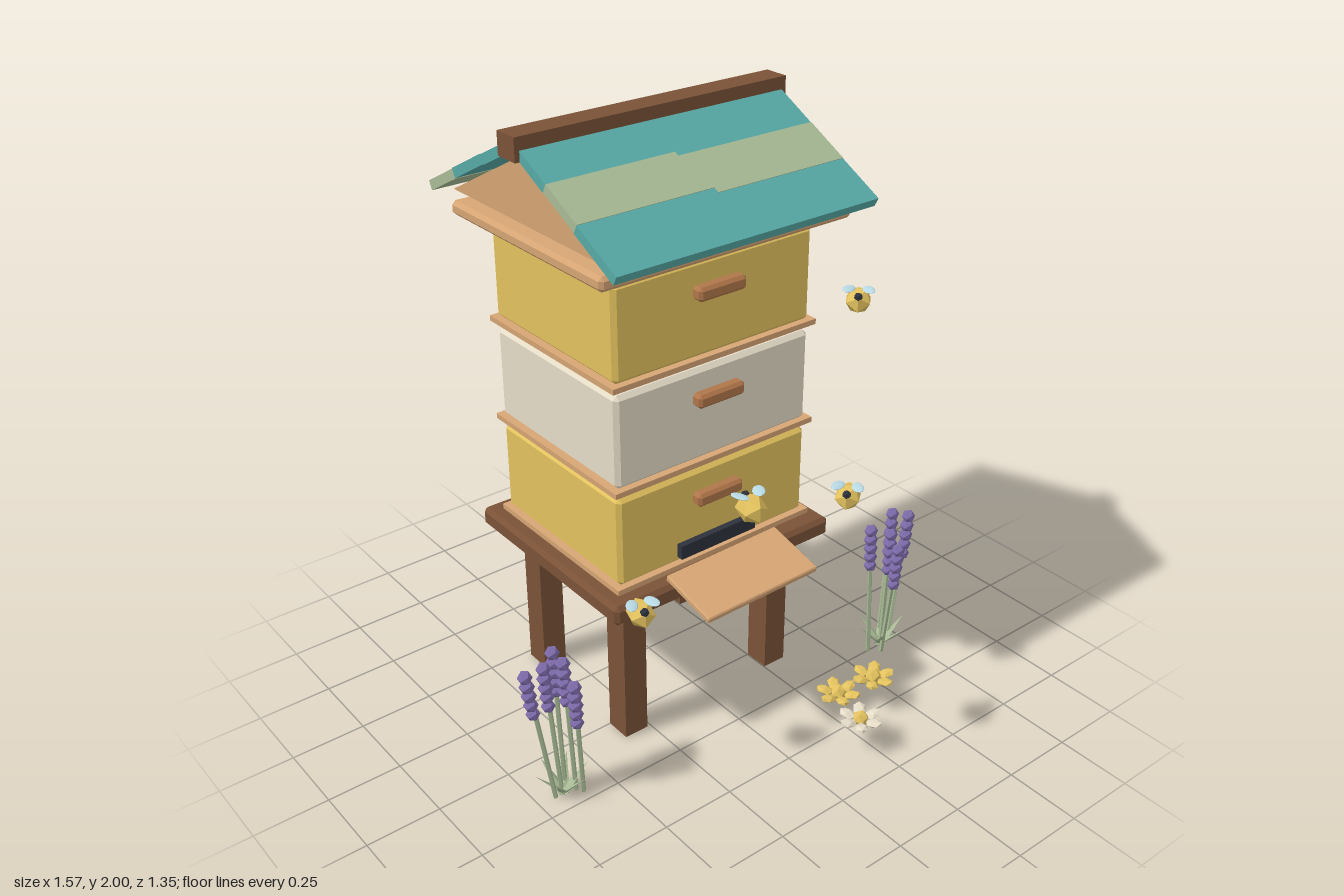
import * as THREE from 'three';
import { ConvexGeometry } from 'three/addons/geometries/ConvexGeometry.js';

const mat = (name, color) => {
  const m = new THREE.MeshStandardMaterial({ color, flatShading: true });
  m.name = name;
  return m;
};

// box with every edge cut off by b
function chamferBox(w, h, d, b) {
  const points = [];
  for (const x of [-1, 1]) for (const y of [-1, 1]) for (const z of [-1, 1])
    for (const [i, j, k] of [[0, b, b], [b, 0, b], [b, b, 0]])
      points.push(new THREE.Vector3(x * (w / 2 - i), y * (h / 2 - j), z * (d / 2 - k)));
  return new ConvexGeometry(points);
}

export function createModel() {
  const teal = mat('teal paint', 0x57aaa7), sage = mat('sage green', 0xa8bb95);
  const honey = mat('honey yellow', 0xe3c25e), cream = mat('cream paint', 0xe5dcc7);
  const walnut = mat('dark wood', 0x7a5237), pine = mat('light wood', 0xd6a574);
  const oak = mat('mid wood', 0xb0764a), dark = mat('charcoal', 0x2c313c);
  const violet = mat('lavender violet', 0x7e6cab), wingBlue = mat('wing blue', 0xb8d9e4);

  const model = new THREE.Group();
  model.name = 'beehive';
  const CX = -0.006, CZ = -0.193; // hive centre

  function add(parent, name, geometry, material, x = 0, y = 0, z = 0) {
    const m = new THREE.Mesh(geometry, material);
    m.name = name;
    m.position.set(x, y, z);
    parent.add(m);
    return m;
  }
  function group(parent, name, x = 0, y = 0, z = 0) {
    const g = new THREE.Group();
    g.name = name;
    g.position.set(x, y, z);
    parent.add(g);
    return g;
  }
  // bevelled block given by its size and its bottom and top heights
  const block = (name, material, w, y0, y1, d, bevel, z = CZ) =>
    add(model, name, chamferBox(w, y1 - y0, d, bevel), material, CX, (y0 + y1) / 2, z);

  // stand
  for (const sx of [-1, 1]) for (const sz of [-1, 1])
    add(model, 'leg', new THREE.BoxGeometry(0.087, 0.54, 0.09), walnut, CX + sx * 0.301, 0.27, CZ + sz * 0.239);
  block('standTop', walnut, 0.878, 0.532, 0.6, 0.764, 0.014).rotation.z = -0.012;

  // stacked hive boxes, each with a bottom rim and two handles
  [[0.606, honey], [0.95, cream], [1.297, honey]].forEach(([y, paint]) => {
    add(model, 'rim', new THREE.BoxGeometry(0.78, 0.018, 0.655), pine, CX, y + 0.009, CZ);
    block('hiveBox', paint, 0.748, y + 0.016, y + 0.326, 0.629, 0.014);
    for (const s of [-1, 1])
      block('handle', oak, 0.178, y + 0.207, y + 0.252, 0.05, 0.01, CZ + s * 0.325);
  });
  add(model, 'entrance', new THREE.BoxGeometry(0.301, 0.048, 0.024), dark, CX, 0.669, 0.132);
  const landing = add(model, 'landingBoard', chamferBox(0.445, 0.022, 0.215, 0.004), pine, CX, 0.592, 0.26);
  landing.rotation.set(0.234, 0, 0.012);

  // inner cover and gable
  block('innerCover', pine, 0.928, 1.648, 1.694, 0.777, 0.012);
  const tri = new THREE.Shape([[-0.447, 0], [0.447, 0], [0, 0.234]].map(p => new THREE.Vector2(...p)));
  const gable = new THREE.ExtrudeGeometry(tri, { depth: 0.83, bevelEnabled: false });
  gable.translate(0, 0, -0.415).rotateY(Math.PI / 2);
  add(model, 'gable', gable, pine, CX, 1.702, CZ);

  // roof planks: each edge is [distance at left, distance at right, x of the step]
  function roofSide(name, yaw, edges, paints) {
    const side = group(model, name, CX, 1.982, CZ - 0.002);
    side.rotation.y = yaw;
    const slope = group(side, 'slope');
    slope.rotation.x = 0.478;
    paints.forEach((paint, i) => {
      const [a, b, s] = edges[i], [c, d, t] = edges[i + 1], h = 0.477;
      const shape = new THREE.Shape(
        [[-h, a], [s, a], [s, b], [h, b], [h, d], [t, d], [t, c], [-h, c]].map(p => new THREE.Vector2(p[0], p[1] * 1.126)));
      const g = new THREE.ExtrudeGeometry(shape, { depth: 0.031, bevelEnabled: false }).rotateX(Math.PI / 2);
      add(slope, 'plank', g, paint, 0, i % 2 ? 0.002 : 0, 0);
    });
  }
  roofSide('frontRoof', 0, [[0, 0, 0], [0.165, 0.18, -0.035], [0.307, 0.325, -0.005], [0.482, 0.482, 0]], [teal, sage, teal]);
  roofSide('backRoof', Math.PI, [[0, 0, 0], [0.17, 0.172, 0], [0.31, 0.335, 0.11], [0.48, 0.482, 0]], [teal, teal, sage]);
  add(model, 'ridgeBeam', new THREE.BoxGeometry(0.986, 0.073, 0.086), walnut, CX, 1.9635, CZ - 0.002);

  // bees: position and yaw, with head and wings towards local +z
  const ball = (r, detail = 0) => new THREE.IcosahedronGeometry(r, detail);
  const bees = [[0.52, 1.357, 0.18, -0.8], [-0.23, 1.06, 0.55, 3.0], [0.295, 0.832, 0.405, -0.9], [-0.457, 0.682, 0.33, -0.3]];
  for (const [x, y, z, yaw] of bees) {
    const bee = group(model, 'bee', x, y, z);
    bee.rotation.y = yaw;
    add(bee, 'beeBody', ball(0.045), honey).scale.set(0.98, 0.98, 1.2);
    add(bee, 'beeHead', ball(0.015), dark, 0, 0.024, 0.034);
    for (const s of [-1, 1]) {
      const wing = add(bee, 'beeWing', ball(0.03, 1), wingBlue, s * 0.031, 0.041, 0.012);
      wing.scale.set(0.62, 0.15, 1);
      wing.rotation.set(0, s * 0.4, s * 0.12);
    }
  }

  // lavender: every stalk has a foot x, z and a tip x, y, z
  function lavender(cx, cz, stalks) {
    const plant = group(model, 'lavender');
    for (const [fx, fz, tx, ty, tz] of stalks) {
      const foot = new THREE.Vector3(fx, 0, fz), tip = new THREE.Vector3(tx, ty, tz);
      const path = new THREE.LineCurve3(foot, tip);
      add(plant, 'stalk', new THREE.TubeGeometry(path, 1, 0.008, 5), sage);
      for (let i = 0; i < 5; i++)
        add(plant, 'blossom', ball(0.025 - Math.abs(i - 1.5) * 0.001), violet,
          tx + (fx - tx) * i * 0.06, ty - 0.018 - i * 0.036, tz + (fz - tz) * i * 0.06);
    }
    // pointed leaves fanning out at the foot
    for (let i = 0; i < 6; i++) {
      const fan = group(plant, 'leafFan', cx, 0.004, cz);
      fan.rotation.y = i * Math.PI / 3 + 0.3;
      const leaf = new THREE.ConeGeometry(0.02, 0.13, 4).translate(0, 0.065, 0).scale(1, 1, 0.35);
      add(fan, 'leaf', leaf, sage).rotation.x = 0.75;
    }
  }
  lavender(-0.66, 0.18, [
    [-0.69, 0.18, -0.77, 0.52, 0.175], [-0.66, 0.17, -0.705, 0.52, 0.175], [-0.64, 0.16, -0.665, 0.555, 0.165],
    [-0.62, 0.19, -0.652, 0.53, 0.2], [-0.605, 0.21, -0.648, 0.47, 0.25]]);
  lavender(0.66, 0.25, [
    [0.6, 0.25, 0.56, 0.545, 0.265], [0.635, 0.28, 0.63, 0.47, 0.33], [0.66, 0.25, 0.665, 0.485, 0.26],
    [0.68, 0.22, 0.735, 0.51, 0.195], [0.695, 0.25, 0.762, 0.515, 0.245]]);

  // ground flowers
  for (const [x, y, z, paint, turn] of [
    [0.4, 0.11, 0.47, honey, 0.2], [0.3, 0.055, 0.41, honey, 0.6], [0.215, 0.11, 0.6, cream, 0.35]]) {
    const flower = group(model, 'flower', x, y, z);
    flower.rotation.y = turn;
    add(flower, 'flowerHeart', ball(0.028), honey, 0, 0.006, 0);
    for (let i = 0; i < 6; i++) {
      const arm = group(flower, 'petalArm');
      arm.rotation.y = i * Math.PI / 3;
      const petal = add(arm, 'petal', ball(0.032), paint, 0, 0.006, 0.047);
      petal.scale.set(0.72, 0.35, 1);
      petal.rotation.x = -0.22;
    }
  }
  return model;
}
